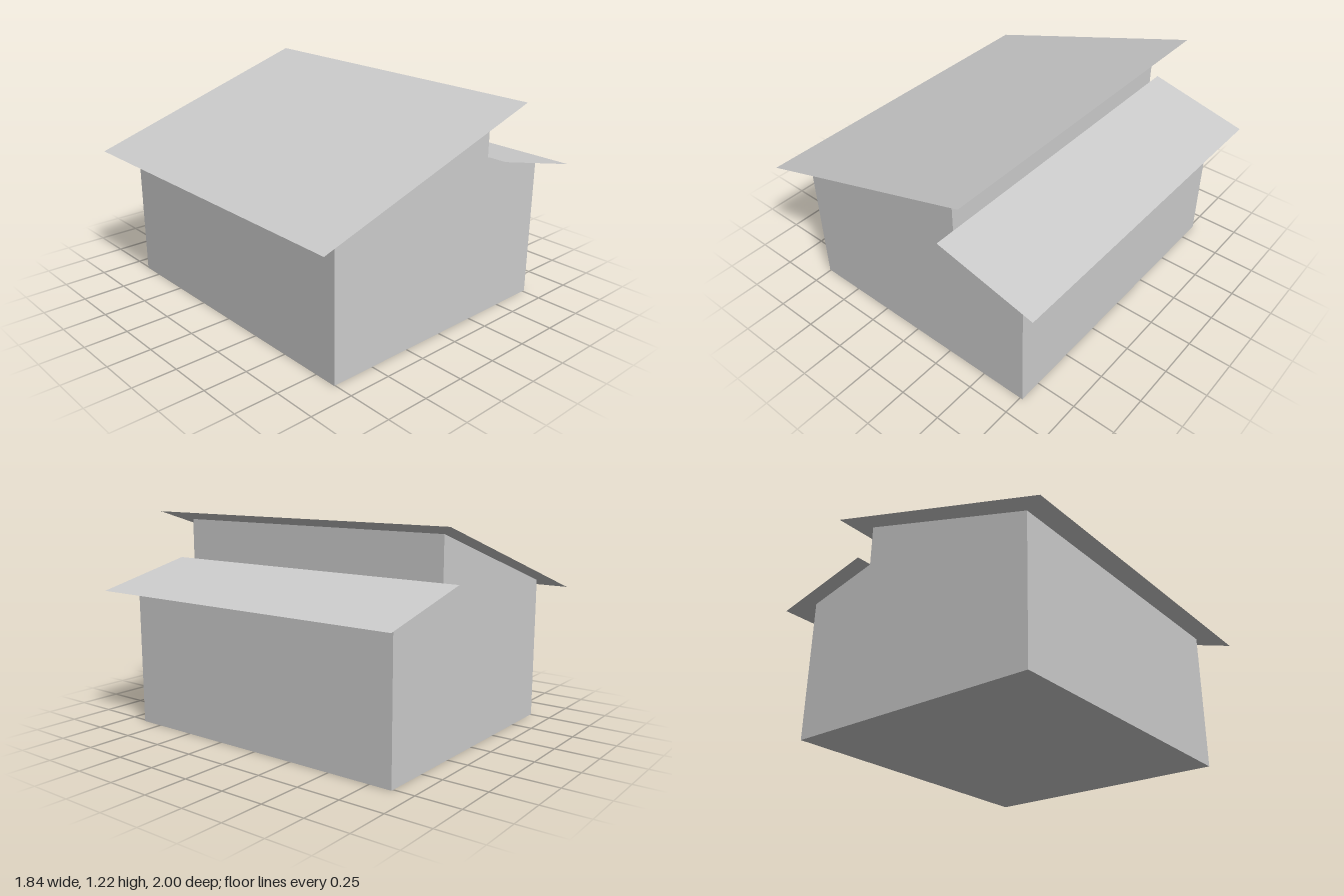
import * as THREE from 'three';

export function createModel() {
  const model = new THREE.Group();
  const grey = new THREE.MeshStandardMaterial({ color: 0xcccccc, side: THREE.DoubleSide });
  grey.name = 'plain grey';

  // Walls and floor: stepped gable profile extruded from back to front
  const profile = new THREE.Shape([
    [-0.755, 0], [0.765, 0], [0.765, 0.825], [0.33, 0.93], [0.33, 1.173], [-0.755, 0.828],
  ].map(([x, y]) => new THREE.Vector2(x, y)));
  const bodyGeometry = new THREE.ExtrudeGeometry(profile, { depth: 1.765, bevelEnabled: false });
  bodyGeometry.translate(0, 0, -0.88);
  const body = new THREE.Mesh(bodyGeometry, grey);
  body.name = 'houseBody';
  model.add(body);

  // A thin roof sheet sloping between two x/y points
  function addRoof(name, x0, y0, x1, y1, zBack, zFront) {
    const run = x1 - x0, rise = y1 - y0;
    const geometry = new THREE.PlaneGeometry(Math.hypot(run, rise), zFront - zBack);
    geometry.rotateX(-Math.PI / 2);
    geometry.rotateZ(Math.atan2(rise, run));
    const roof = new THREE.Mesh(geometry, grey);
    roof.name = name;
    roof.position.set((x0 + x1) / 2, (y0 + y1) / 2 + 0.002, (zBack + zFront) / 2);
    model.add(roof);
  }
  addRoof('mainRoof', -0.92, 0.775, 0.482, 1.221, -1, 1);
  addRoof('lowerRoof', 0.33, 0.93, 0.915, 0.789, -0.97, 1);

  return model;
}
